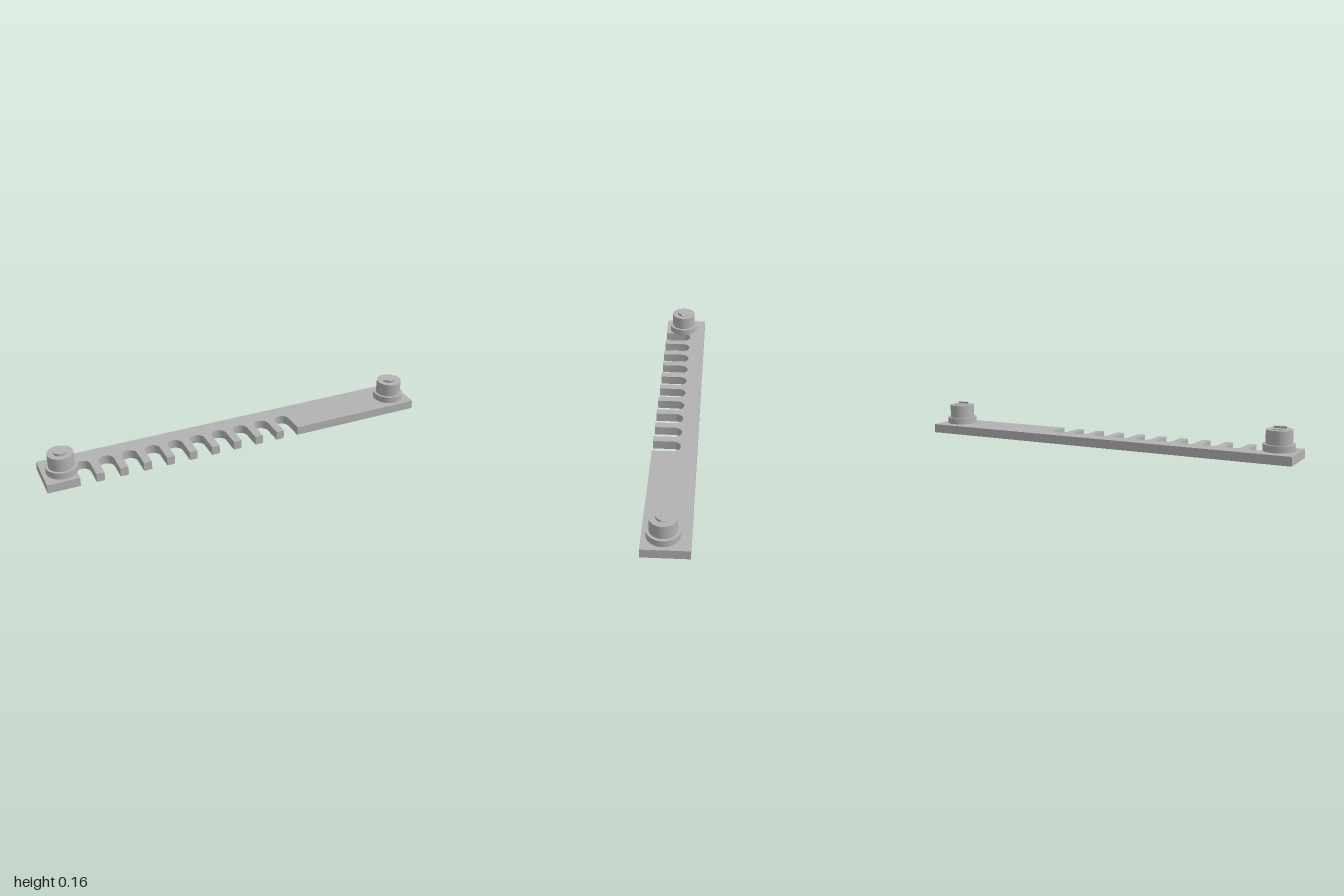
import * as THREE from 'three';
import { toCreasedNormals } from 'three/addons/utils/BufferGeometryUtils.js';

export function createModel() {
  const model = new THREE.Group();
  const gray = new THREE.MeshStandardMaterial({ color: 0xb2b2b2 });
  gray.name = 'plain gray';

  const thickness = 0.045, halfDepth = 0.11;

  // Extrude an outline drawn in x and -z upwards from a given height
  function slab(name, shape, y, height, parent) {
    const geo = new THREE.ExtrudeGeometry(shape, { depth: height, bevelEnabled: false, curveSegments: 24 });
    geo.rotateX(-Math.PI / 2);
    const mesh = new THREE.Mesh(toCreasedNormals(geo, 0.5), gray);
    mesh.name = name;
    mesh.position.y = y;
    parent.add(mesh);
  }

  // Plate with ten round-ended slots open to the front edge
  const outline = new THREE.Shape();
  outline.moveTo(-1, -halfDepth);
  const slotRadius = 0.039, slotCentre = -0.01;
  for (let i = 0; i < 10; i++) {
    const x = -0.802 + i * 0.1187;
    outline.lineTo(x - slotRadius, -halfDepth);
    outline.lineTo(x - slotRadius, slotCentre);
    outline.absarc(x, slotCentre, slotRadius, Math.PI, 0, true);
    outline.lineTo(x + slotRadius, -halfDepth);
  }
  outline.lineTo(1, -halfDepth);
  outline.lineTo(1, halfDepth);
  outline.lineTo(-1, halfDepth);
  outline.closePath();
  slab('slottedPlate', outline, 0, thickness, model);

  // Stepped stud at each end
  for (const side of [-1, 1]) {
    const stud = new THREE.Group();
    stud.name = side < 0 ? 'rightStud' : 'leftStud';
    stud.position.set(side * 0.903, 0, 0.013);
    model.add(stud);

    const steps = [
      ['studFlange', 0.077, thickness, 0.078],
      ['studBody', 0.0635, 0.078, 0.146],
      ['studTipDisc', 0.034, 0.146, 0.149],
    ];
    for (const [name, radius, bottom, top] of steps) {
      const mesh = new THREE.Mesh(new THREE.CylinderGeometry(radius, radius, top - bottom, 48), gray);
      mesh.name = name;
      mesh.position.y = (bottom + top) / 2;
      stud.add(mesh);
    }

    // Raised segment on the front of the tip
    const chord = Math.asin(0.01 / 0.034);
    const segment = new THREE.Shape();
    segment.absarc(0, 0, 0.034, Math.PI + chord, 2 * Math.PI - chord, false);
    segment.closePath();
    slab('studTipSegment', segment, 0.149, 0.009, stud);
  }
  return model;
}
